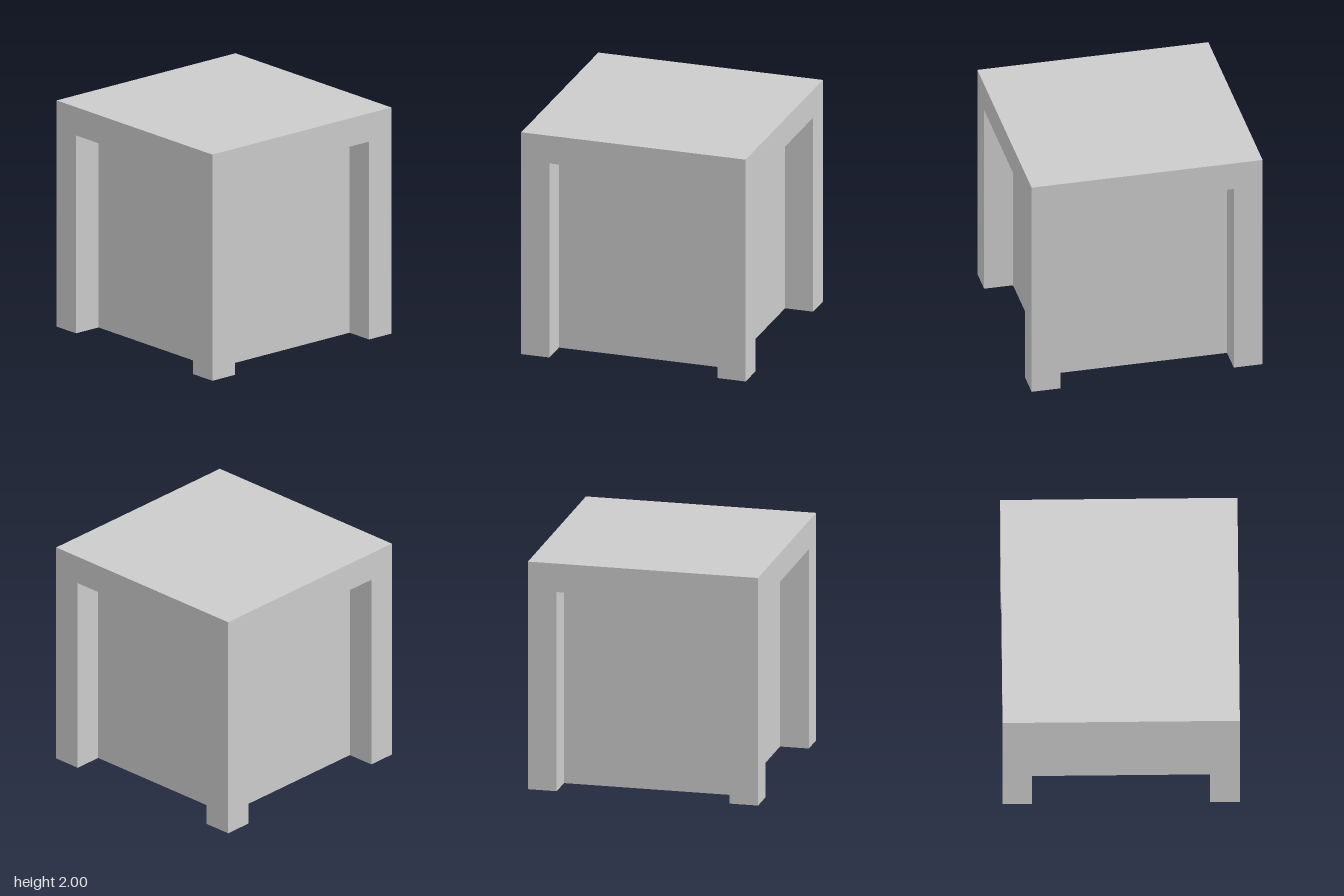
import * as THREE from 'three';

const SIZE = 2; // overall cube
const POST = 0.25; // post width, slab thickness and panel recess

export function createModel() {
  const group = new THREE.Group();
  const material = new THREE.MeshStandardMaterial({ color: 0xcccccc, flatShading: true });

  // Box standing on height y
  const addBox = (name, w, h, d, x, y, z) => {
    const mesh = new THREE.Mesh(new THREE.BoxGeometry(w, h, d), material);
    mesh.name = name;
    mesh.position.set(x, y + h / 2, z);
    group.add(mesh);
  };

  const height = SIZE - POST;
  const core = SIZE - 2 * POST;
  const corner = (SIZE - POST) / 2;

  // Top slab and the recessed body beneath it
  addBox('topSlab', SIZE, POST, SIZE, 0, height, 0);
  addBox('body', core, height, core, 0, 0, 0);

  // Four corner legs
  for (const [sx, side] of [[1, 'Left'], [-1, 'Right']]) {
    for (const [sz, end] of [[1, 'front'], [-1, 'back']]) {
      addBox(`${end}${side}Leg`, POST, height, POST, sx * corner, 0, sz * corner);
    }
  }

  return group;
}
